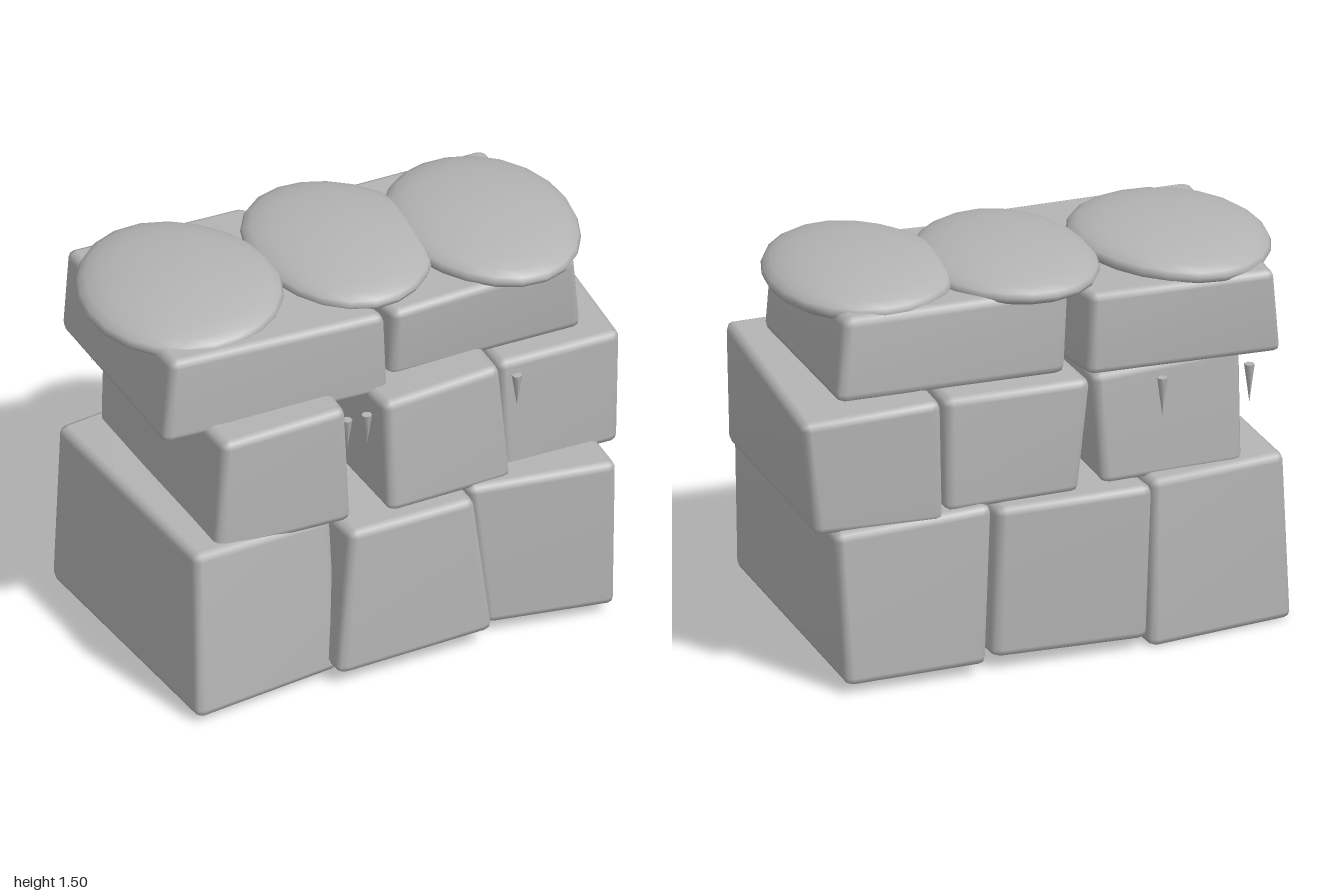
import * as THREE from 'three';
import { RoundedBoxGeometry } from 'three/addons/geometries/RoundedBoxGeometry.js';
import { mergeVertices } from 'three/addons/utils/BufferGeometryUtils.js';

const stone = new THREE.MeshStandardMaterial({ color: 0xb4b4b4 });
stone.name = 'paleGrey';

// Merge split vertices so the bevels shade smoothly
function smooth(geometry) {
  geometry.deleteAttribute('uv');
  geometry.deleteAttribute('normal');
  const merged = mergeVertices(geometry, 1e-4);
  merged.computeVertexNormals();
  return merged;
}

// Bevelled stone bent to eight corners: front-left, front-right, back-right, back-left (as seen from the front)
function block(name, top, bottom) {
  const c = [...top, ...bottom].map((p) => new THREE.Vector3(...p));
  const size = new THREE.Vector3(c[0].distanceTo(c[1]), c[0].distanceTo(c[4]), c[1].distanceTo(c[2]));
  const g = new RoundedBoxGeometry(size.x, size.y, size.z, 1, 0.032);
  const pos = g.attributes.position;
  const mix = (a, b, t) => a.clone().lerp(b, t);
  for (let i = 0; i < pos.count; i++) {
    const u = pos.getX(i) / size.x + 0.5;
    const v = pos.getY(i) / size.y + 0.5;
    const w = pos.getZ(i) / size.z + 0.5;
    const layer = (k) => mix(mix(c[k + 3], c[k + 2], u), mix(c[k], c[k + 1], u), w);
    const p = mix(layer(4), layer(0), v);
    pos.setXYZ(i, p.x, p.y, p.z);
  }
  const mesh = new THREE.Mesh(smooth(g), stone);
  mesh.name = name;
  return mesh;
}

// Lens-shaped snow cap with a slightly uneven rim
function snowCap(name, [x, y, z], [rx, ry, rz], tilt, phase) {
  const g = new THREE.SphereGeometry(1, 22, 14);
  const pos = g.attributes.position;
  for (let i = 0; i < pos.count; i++) {
    const px = pos.getX(i), py = pos.getY(i), pz = pos.getZ(i);
    const a = Math.atan2(pz, px);
    const k = 1 + 0.02 * Math.sin(3 * a + phase);
    pos.setXYZ(i, px * rx * k, py * ry, pz * rz * k);
  }
  const mesh = new THREE.Mesh(smooth(g), stone);
  mesh.name = name;
  mesh.position.set(x, y, z);
  mesh.rotation.z = tilt;
  return mesh;
}

export function createModel() {
  const model = new THREE.Group();
  model.name = 'snowyStoneWall';

  // Bottom course
  model.add(
    block('bottomStoneRight',
      [[-0.87, 0.69, 0.55], [-0.28, 0.66, 0.48], [-0.37, 0.66, -0.59], [-0.92, 0.66, -0.51]],
      [[-0.89, 0.02, 0.62], [-0.27, 0.02, 0.53], [-0.36, 0, -0.6], [-0.95, 0, -0.51]]),
    block('bottomStoneMiddle',
      [[-0.26, 0.65, 0.6], [0.25, 0.65, 0.59], [0.25, 0.65, -0.62], [-0.37, 0.65, -0.61]],
      [[-0.32, 0.05, 0.62], [0.32, 0.07, 0.61], [0.26, 0.05, -0.6], [-0.35, 0.04, -0.6]]),
    block('bottomStoneLeft',
      [[0.25, 0.66, 0.53], [0.82, 0.66, 0.61], [0.88, 0.63, -0.6], [0.26, 0.66, -0.6]],
      [[0.32, 0.05, 0.54], [0.81, 0.04, 0.61], [0.84, 0.03, -0.62], [0.29, 0.04, -0.62]]));

  // Middle course
  model.add(
    block('middleStoneRight',
      [[-0.73, 1.11, 0.5], [-0.23, 1.13, 0.5], [-0.16, 1.08, -0.52], [-0.76, 1.1, -0.48]],
      [[-0.76, 0.64, 0.5], [-0.21, 0.64, 0.51], [-0.2, 0.64, -0.52], [-0.76, 0.64, -0.5]]),
    block('middleStoneCentre',
      [[-0.08, 1.11, 0.51], [0.4, 1.13, 0.49], [0.44, 1.09, -0.57], [-0.15, 1.08, -0.55]],
      [[-0.07, 0.64, 0.53], [0.44, 0.64, 0.51], [0.43, 0.64, -0.57], [-0.1, 0.64, -0.55]]),
    block('middleStoneLeft',
      [[0.42, 1.1, 0.43], [0.92, 1.1, 0.43], [1.0, 1.07, -0.57], [0.46, 1.1, -0.6]],
      [[0.44, 0.62, 0.43], [0.91, 0.62, 0.43], [0.94, 0.62, -0.56], [0.45, 0.62, -0.6]]));

  // Top course
  model.add(
    block('topStoneRight',
      [[-0.87, 1.42, 0.35], [-0.01, 1.41, 0.38], [-0.16, 1.4, -0.52], [-0.87, 1.4, -0.54]],
      [[-0.9, 1.07, 0.35], [0, 1.07, 0.39], [-0.15, 1.08, -0.52], [-0.9, 1.07, -0.53]]),
    block('topStoneLeft',
      [[0.03, 1.39, 0.36], [0.77, 1.42, 0.36], [0.79, 1.42, -0.46], [-0.1, 1.42, -0.46]],
      [[0.03, 1.09, 0.33], [0.81, 1.09, 0.33], [0.82, 1.09, -0.47], [-0.08, 1.08, -0.47]]));

  // Snow caps
  model.add(
    snowCap('snowCapRight', [-0.625, 1.41, -0.105], [0.37, 0.088, 0.435], 0.05, 0.5),
    snowCap('snowCapMiddle', [0.025, 1.42, -0.105], [0.335, 0.082, 0.43], 0, 2),
    snowCap('snowCapLeft', [0.575, 1.415, -0.02], [0.345, 0.088, 0.44], -0.03, 3.5));

  // Icicles hanging under the top course
  const spots = [[-0.2, 0.44], [-0.12, 0.44], [0.49, 0.44], [-0.775, -0.52], [-0.43, -0.53]];
  spots.forEach(([x, z], i) => {
    const length = i > 2 ? 0.15 : 0.13;
    const icicle = new THREE.Mesh(new THREE.ConeGeometry(0.02, length, 6), stone);
    icicle.name = 'icicle' + (i + 1);
    icicle.rotation.x = Math.PI;
    icicle.position.set(x, 1.04 - length / 2, z);
    model.add(icicle);
  });

  return model;
}
